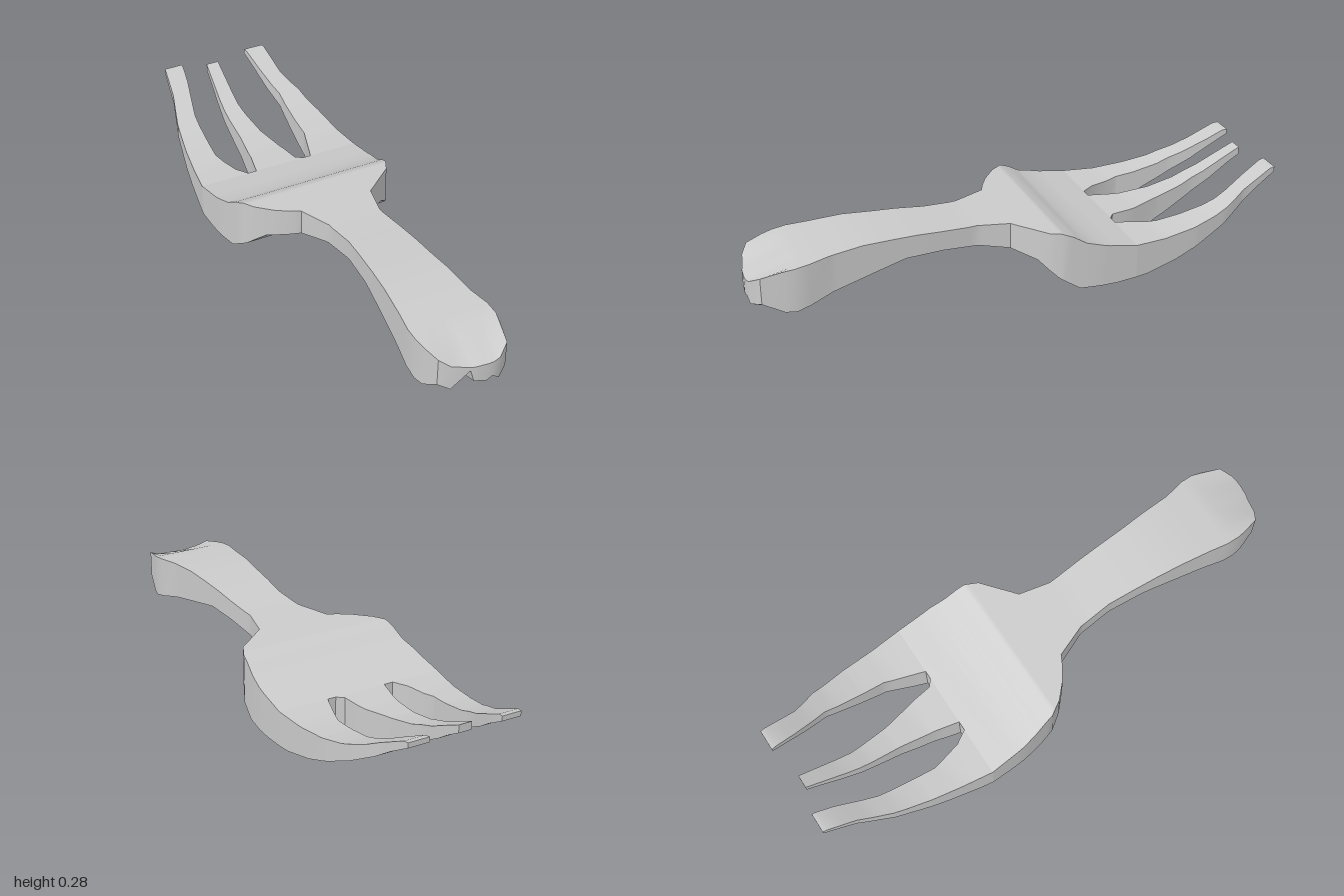
import * as THREE from 'three';
import { toCreasedNormals } from 'three/addons/utils/BufferGeometryUtils.js';

// Side profile of the whole fork: [z, height]
const TOP = [[0.88, 0.253], [0.8, 0.262], [0.6, 0.275], [0.4, 0.265], [0.2, 0.246], [0.04, 0.241], [-0.09, 0.239],
  [-0.13, 0.222], [-0.18, 0.19], [-0.27, 0.163], [-0.38, 0.14], [-0.5, 0.136], [-0.62, 0.148], [-0.72, 0.168],
  [-0.82, 0.205], [-0.9, 0.245], [-0.98, 0.284], [-1, 0.286]];
const BOTTOM = [[0.87, 0.085], [0.7, 0.128], [0.44, 0.183], [0.3, 0.18], [0.15, 0.162], [0.05, 0.142], [-0.02, 0.122],
  [-0.08, 0.062], [-0.16, 0.008], [-0.3, 0.003], [-0.43, 0.01], [-0.55, 0.036], [-0.65, 0.072], [-0.75, 0.117],
  [-0.85, 0.172], [-0.92, 0.22], [-1, 0.267]];

// Edge outlines: [z, x]
const HANDLE = {
  left: [[0.85, -0.093], [0.8, -0.095], [0.72, -0.085], [0.5, -0.065], [0.3, -0.052], [0.17, -0.065], [0.05, -0.115]],
  right: [[0.85, 0.208], [0.8, 0.205], [0.72, 0.185], [0.5, 0.165], [0.3, 0.152], [0.17, 0.14], [0.05, 0.165]],
};
const HEAD = {
  left: [[0.05, -0.115], [0.03, -0.155], [0, -0.2], [-0.05, -0.255], [-0.1, -0.288], [-0.24, -0.316], [-0.38, -0.325]],
  right: [[0.05, 0.165], [0.03, 0.19], [0, 0.225], [-0.05, 0.285], [-0.1, 0.308], [-0.24, 0.322], [-0.38, 0.32]],
};
const TINES = {
  leftTine: {
    left: [[-0.38, 0.13], [-0.41, 0.14], [-0.53, 0.177], [-0.77, 0.182], [-0.9, 0.15], [-1, 0.13]],
    right: [[-0.38, 0.32], [-0.63, 0.295], [-0.77, 0.267], [-0.86, 0.23], [-1, 0.21]],
  },
  middleTine: {
    left: [[-0.38, -0.1], [-0.475, -0.08], [-0.61, -0.066], [-0.77, -0.066], [-0.97, -0.05]],
    right: [[-0.38, 0.098], [-0.4, 0.072], [-0.475, 0.06], [-0.61, 0.025], [-0.77, 0], [-0.97, 0]],
  },
  rightTine: {
    left: [[-0.38, -0.325], [-0.61, -0.295], [-0.755, -0.27], [-0.88, -0.235], [-1, -0.22]],
    right: [[-0.38, -0.135], [-0.43, -0.167], [-0.545, -0.198], [-0.77, -0.188], [-0.92, -0.155], [-1, -0.145]],
  },
};
// Worn butt of the handle: [x, z, top, bottom]
const BUTT = [[-0.085, 0.89, 0.25, 0.092], [-0.066, 0.95, 0.238, 0.132], [-0.03, 0.975, 0.215, 0.118],
  [0.033, 0.99, 0.2, 0.185], [0.045, 0.995, 0.2, 0.14], [0.09, 1, 0.2, 0.128], [0.113, 1, 0.2, 0.14],
  [0.14, 0.995, 0.205, 0.117], [0.182, 0.965, 0.23, 0.13], [0.2, 0.89, 0.25, 0.092]];

// Linear lookup in a table sorted by falling z
function at(table, z) {
  if (z >= table[0][0]) return table[0][1];
  for (let i = 1; i < table.length; i++) {
    const [z0, v0] = table[i - 1], [z1, v1] = table[i];
    if (z >= z1) return v0 + ((v1 - v0) * (z0 - z)) / (z0 - z1);
  }
  return table[table.length - 1][1];
}

// Cross-sections from an outline, at every knot of the outline and profile
function sections(outline, fractions) {
  const { left, right } = outline;
  const start = left[0][0], end = left[left.length - 1][0];
  const knots = [left, right, TOP, BOTTOM].flat().map((k) => k[0]).filter((z) => z <= start && z >= end);
  return [...new Set(knots)].sort((a, b) => b - a).map((z) => fractions.map((t) => [
    THREE.MathUtils.lerp(at(left, z), at(right, z), t), z, at(TOP, z), at(BOTTOM, z)]));
}

// Closed slab through rows of [x, z, top, bottom], from front to back
function slab(name, rows, material) {
  const positions = [];
  const top = (i, j) => [rows[i][j][0], rows[i][j][2], rows[i][j][1]];
  const bot = (i, j) => [rows[i][j][0], rows[i][j][3], rows[i][j][1]];
  const quad = (a, b, c, d) => positions.push(...a, ...b, ...c, ...a, ...c, ...d);
  const m = rows.length - 1, n = rows[0].length - 1;
  for (let i = 0; i < m; i++) {
    for (let j = 0; j < n; j++) {
      quad(top(i, j), top(i, j + 1), top(i + 1, j + 1), top(i + 1, j));
      quad(bot(i, j), bot(i + 1, j), bot(i + 1, j + 1), bot(i, j + 1));
    }
    quad(bot(i + 1, 0), bot(i, 0), top(i, 0), top(i + 1, 0));
    quad(bot(i, n), bot(i + 1, n), top(i + 1, n), top(i, n));
  }
  for (let j = 0; j < n; j++) {
    quad(bot(0, j), bot(0, j + 1), top(0, j + 1), top(0, j));
    quad(bot(m, j + 1), bot(m, j), top(m, j), top(m, j + 1));
  }
  const geometry = new THREE.BufferGeometry();
  geometry.setAttribute('position', new THREE.Float32BufferAttribute(positions, 3));
  const mesh = new THREE.Mesh(toCreasedNormals(geometry, 0.6), material);
  mesh.name = name;
  return mesh;
}

export function createModel() {
  const group = new THREE.Group();
  group.name = 'fork';
  const material = new THREE.MeshStandardMaterial({ color: 0xcccccc });

  // Handle, with its columns lined up with the butt
  const x0 = BUTT[0][0], width = BUTT[BUTT.length - 1][0] - x0;
  const columns = BUTT.map((p) => (p[0] - x0) / width);
  group.add(slab('handle', [BUTT, ...sections(HANDLE, columns)], material));

  // Broad head and three upswept tines
  group.add(slab('head', sections(HEAD, [0, 1]), material));
  for (const [name, outline] of Object.entries(TINES)) {
    group.add(slab(name, sections(outline, [0, 1]), material));
  }
  return group;
}
